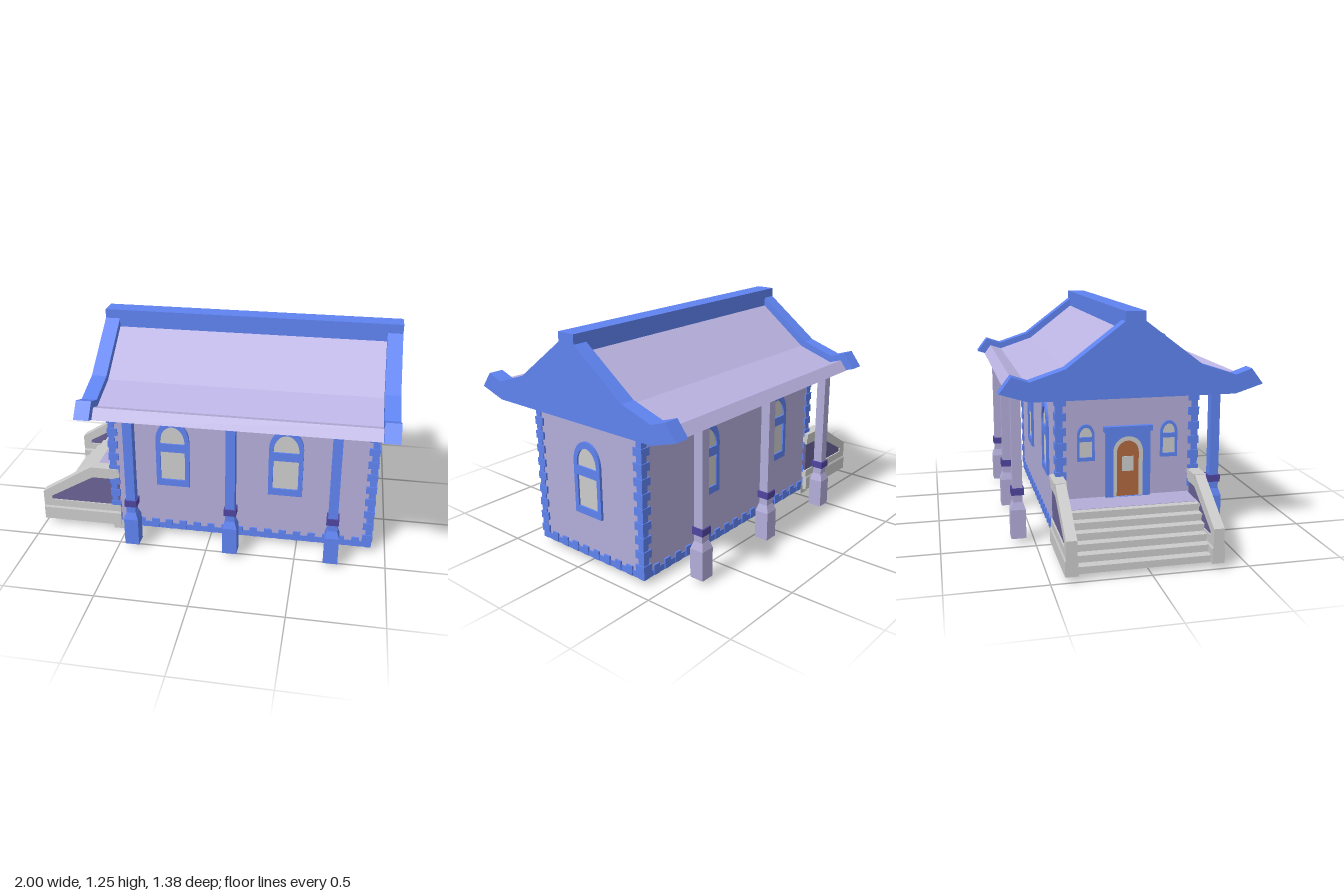
import * as THREE from 'three';

const mat = (color) => new THREE.MeshStandardMaterial({ color, flatShading: true });
const BLUE = mat(0x5f83f0), WALL = mat(0xb3add9), ROOF = mat(0xbbb3e2), PURPLE = mat(0x4f459f);
const PANEL = mat(0x6a6396), GREY = mat(0xcccccc), BROWN = mat(0xb0673f), FLOOR = mat(0xcfc6c8);

// Wall extents
const X0 = -0.575, X1 = 0.915, Z0 = -0.395, Z1 = 0.355, Y0 = 0.03, Y1 = 0.812;

function add(parent, name, geo, material) {
  const m = new THREE.Mesh(geo, material);
  m.name = name;
  parent.add(m);
  return m;
}

// Box given by its two opposite corners
function box(parent, name, material, x0, x1, y0, y1, z0, z1) {
  const m = add(parent, name, new THREE.BoxGeometry(x1 - x0, y1 - y0, z1 - z0), material);
  m.position.set((x0 + x1) / 2, (y0 + y1) / 2, (z0 + z1) / 2);
  return m;
}

const poly = (pts) => new THREE.Shape(pts.map((p) => new THREE.Vector2(p[0], p[1])));
const extrude = (shape, depth) =>
  new THREE.ExtrudeGeometry(shape, { depth, bevelEnabled: false, curveSegments: 8 });

// Extrudes a (z, y) profile along x
function alongX(pts, x0, x1) {
  return extrude(poly(pts), x1 - x0).rotateY(-Math.PI / 2).translate(x1, 0, 0);
}

// Straight-sided outline with an elliptical top
function arch(half, bottom, spring, top) {
  const s = new THREE.Shape();
  s.moveTo(-half, bottom);
  s.lineTo(half, bottom);
  s.lineTo(half, spring);
  s.absellipse(0, spring, half, top - spring, 0, Math.PI, false, 0);
  s.closePath();
  return s;
}

function archWindow(name, scaleX = 1, scaleY = 1) {
  const g = new THREE.Group();
  g.name = name;
  const frame = arch(0.095, 0, 0.285, 0.405);
  frame.holes.push(poly([[-0.07, 0.04], [0.07, 0.04], [0.07, 0.215], [-0.07, 0.215]]));
  frame.holes.push(arch(0.07, 0.265, 0.275, 0.37));
  add(g, 'windowFrame', extrude(frame, 0.014), BLUE);
  add(g, 'windowPane', extrude(arch(0.085, 0.02, 0.28, 0.39), 0.004), GREY);
  g.scale.set(scaleX, scaleY, 1);
  return g;
}

function column(x, z, top, material) {
  const g = new THREE.Group();
  g.name = 'porchColumn';
  box(g, 'columnBase', material, -0.04, 0.04, Y0, 0.19, -0.04, 0.04);
  const taper = add(g, 'columnTaper',
    new THREE.CylinderGeometry(0.027 * Math.SQRT2, 0.04 * Math.SQRT2, 0.04, 4, 1).rotateY(Math.PI / 4), material);
  taper.position.y = 0.21;
  box(g, 'columnShaft', material, -0.026, 0.026, 0.23, top, -0.026, 0.026);
  box(g, 'columnBand', PURPLE, -0.034, 0.034, 0.27, 0.308, -0.034, 0.034);
  g.position.set(x, 0, z);
  return g;
}

function buildRoof() {
  const g = new THREE.Group();
  g.name = 'roof';
  // Gable ends with upturned eaves
  const half = [[0.54, 0.81], [0.69, 0.857], [0.627, 0.94], [0.54, 0.91], [0.357, 0.97], [0.053, 1.2]];
  const both = (pts) => [...pts, ...pts.map(([z, y]) => [-z, y]).reverse()];
  for (const x of [-0.65, 0.918]) add(g, 'gableEnd', alongX(both(half), x, x + 0.082), BLUE);
  // Tiled slopes and the soffit beneath
  const tiles = [[0.645, 0.84], [0.605, 0.895], [0.535, 0.872], [0.33, 0.94], [0.05, 1.155]];
  add(g, 'roofSlopes', alongX(both(tiles), -0.57, 0.92), ROOF);
  add(g, 'soffit', alongX(both([[0.54, 0.81], [0.645, 0.84]]), -0.57, 0.92), BLUE);
  box(g, 'ridgeBeam', BLUE, -0.65, 1.0, 1.15, 1.25, -0.053, 0.053);
  return g;
}

function buildTrim() {
  const g = new THREE.Group();
  g.name = 'wallTrim';
  // Corner quoins: a narrow strip with wider blocks at a regular pitch
  for (const sx of [-1, 1]) for (const sz of [-1, 1]) {
    const corner = (name, size, out, y0, y1) => {
      const cx = sx < 0 ? X0 - out : X1 + out, cz = sz < 0 ? Z0 - out : Z1 + out;
      const ix = cx - sx * size, iz = cz - sz * size;
      box(g, name, BLUE, Math.min(cx, ix), Math.max(cx, ix), y0, y1, Math.min(cz, iz), Math.max(cz, iz));
    };
    corner('cornerStrip', 0.036, 0.005, Y0, Y1);
    for (let i = 0; i < 10; i++) corner('quoin', 0.058, 0.01, Y1 - 0.042 - i * 0.078, Y1 - i * 0.078);
  }
  // Base course with teeth on all four walls
  box(g, 'baseCourse', BLUE, X0 - 0.005, X1 + 0.005, Y0 + 0.002, 0.066, Z0 - 0.005, Z1 + 0.005);
  for (let i = 0; i < 17; i++) {
    const x = X0 + 0.085 + i * 0.0825;
    for (const z of [Z0, Z1]) box(g, 'baseTooth', BLUE, x - 0.021, x + 0.021, 0.034, 0.09, z - 0.01, z + 0.01);
  }
  for (let i = 0; i < 8; i++) {
    const z = Z0 + 0.095 + i * 0.08;
    for (const x of [X0, X1]) box(g, 'baseTooth', BLUE, x - 0.01, x + 0.01, 0.034, 0.085, z - 0.02, z + 0.02);
  }
  return g;
}

function buildDoor() {
  const g = new THREE.Group();
  g.name = 'door';
  const frame = poly([[-0.12, 0], [0.12, 0], [0.12, 0.37], [-0.12, 0.37]]);
  frame.holes.push(arch(0.08, 0.005, 0.25, 0.33));
  add(g, 'doorFrame', extrude(frame, 0.02), BLUE);
  const surround = arch(0.082, 0.003, 0.25, 0.332);
  surround.holes.push(arch(0.06, 0.005, 0.24, 0.305));
  add(g, 'doorSurround', extrude(surround, 0.014), GREY);
  add(g, 'doorLeaf', extrude(arch(0.062, 0.004, 0.24, 0.307), 0.007), BROWN);
  box(g, 'doorPane', GREY, -0.03, 0.03, 0.14, 0.22, 0, 0.01);
  box(g, 'doorLintel', BLUE, -0.13, 0.13, 0.355, 0.385, 0, 0.028);
  return g;
}

function buildStairs() {
  const g = new THREE.Group();
  g.name = 'entranceStairs';
  // Steps with a projecting nosing, then the landing
  const n = 6, run = 0.04, rise = 0.04;
  for (let i = 0; i < n; i++) {
    const x = -0.985 + i * run, y = Y0 + (i + 1) * rise;
    box(g, 'riser', GREY, x + 0.01, -0.56, Y0, y - 0.012, -0.37, 0.31);
    box(g, 'tread', GREY, x, x + run + 0.012, y - 0.016, y, -0.37, 0.31);
  }
  box(g, 'landing', WALL, -0.745, -0.56, 0.2, 0.272, -0.37, 0.31);
  // Side walls: coping frame around a recessed panel, on a plinth
  for (const [z0, z1] of [[0.305, 0.37], [-0.43, -0.365]]) {
    const rail = new THREE.Group();
    rail.name = 'stairSideWall';
    const frame = poly([[-1, 0.1], [-0.53, 0.1], [-0.53, 0.16], [-0.95, 0.16], [-0.95, 0.183],
      [-0.69, 0.333], [-0.53, 0.333], [-0.53, 0.397], [-0.7, 0.397], [-1, 0.21]]);
    add(rail, 'coping', extrude(frame, z1 - z0 - 0.01).translate(0, 0, z0 + 0.005), GREY);
    const panel = poly([[-0.97, 0.12], [-0.532, 0.12], [-0.532, 0.35], [-0.7, 0.35], [-0.97, 0.19]]);
    add(rail, 'sidePanel', extrude(panel, z1 - z0 - 0.026).translate(0, 0, z0 + 0.013), PANEL);
    add(rail, 'plinth', alongX([[z0, Y0], [z1, Y0], [z1, 0.105], [z1 - 0.008, 0.125],
      [z0 + 0.008, 0.125], [z0, 0.105]], -1, -0.53), GREY);
    box(rail, 'topCap', GREY, -0.7, -0.53, 0.375, 0.4, z0, z1);
    g.add(rail);
  }
  for (const z of [0.305, -0.405]) box(g, 'foot', GREY, -0.58, -0.51, 0, 0.06, z, z + 0.055);
  return g;
}

export function createModel() {
  const model = new THREE.Group();
  model.name = 'house';
  box(model, 'walls', WALL, X0, X1, Y0 + 0.004, Y1, Z0, Z1);
  box(model, 'floor', FLOOR, X0, X1, Y0 - 0.001, Y0 + 0.02, Z0, Z1);
  model.add(buildTrim(), buildRoof(), buildStairs());

  const place = (part, x, y, z, turn) => {
    part.position.set(x, y, z);
    part.rotation.y = turn;
    model.add(part);
  };
  // Long-wall windows, side window, entrance wall
  for (const x of [-0.21, 0.425]) {
    place(archWindow('frontWindow'), x, 0.325, Z1, 0);
    place(archWindow('backWindow'), x, 0.325, Z0, Math.PI);
  }
  place(archWindow('sideWindow'), X1, 0.275, -0.022, Math.PI / 2);
  for (const z of [-0.245, 0.2]) place(archWindow('smallWindow', 0.48, 0.48), X0, 0.475, z, -Math.PI / 2);
  place(buildDoor(), X0, 0.268, -0.022, -Math.PI / 2);

  // Porch columns on both long sides
  for (const x of [-0.415, 0.143, 0.7]) {
    model.add(column(x, 0.511, 0.815, BLUE), column(x, -0.587, 0.835, WALL));
  }
  return model;
}
